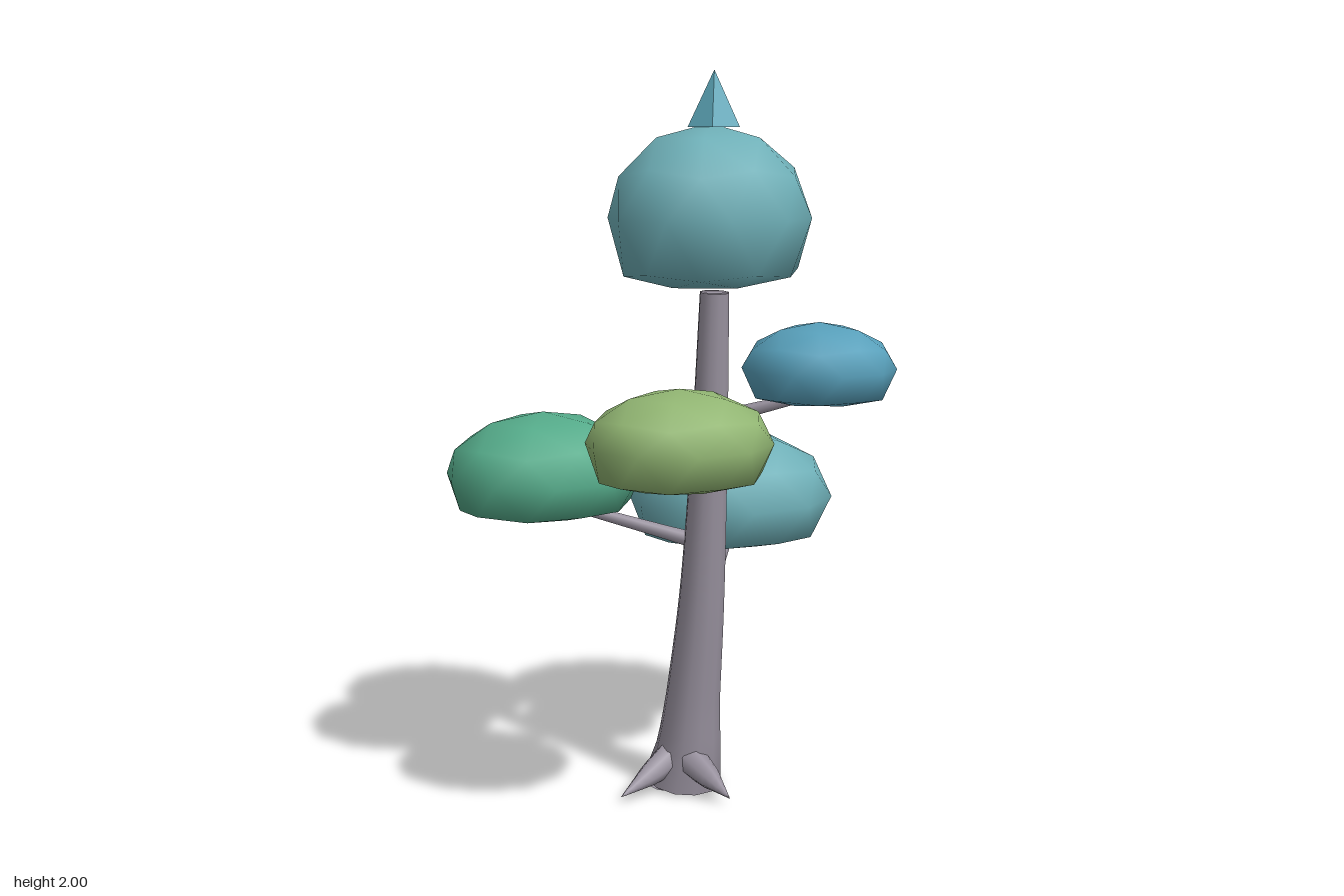
import * as THREE from 'three';
import { mergeVertices } from 'three/addons/utils/BufferGeometryUtils.js';

const V = (p) => new THREE.Vector3(...p);
const bark = new THREE.MeshStandardMaterial({ color: 0x9a93a0, side: THREE.DoubleSide });

// Tube along a smooth path whose radius follows the given list
function taperedTube(name, points, radii, sides, segments) {
  const curve = new THREE.CatmullRomCurve3(points.map(V));
  const geo = new THREE.TubeGeometry(curve, segments, 1, sides, false);
  const pos = geo.attributes.position;
  const p = new THREE.Vector3();
  for (let i = 0; i < pos.count; i++) {
    const u = Math.floor(i / (sides + 1)) / segments;
    const centre = curve.getPointAt(u);
    const s = curve.getUtoTmapping(u) * (radii.length - 1);
    const k = Math.min(Math.floor(s), radii.length - 2);
    const r = THREE.MathUtils.lerp(radii[k], radii[k + 1], s - k);
    p.fromBufferAttribute(pos, i).sub(centre).multiplyScalar(r).add(centre);
    pos.setXYZ(i, p.x, Math.max(p.y, 0), p.z);
  }
  const mesh = new THREE.Mesh(geo, bark);
  mesh.name = name;
  return mesh;
}

// Low-poly ball with a domed top and a flattened underside
function foliage({ name, at, rx, rz, up, down, color }) {
  let geo = new THREE.IcosahedronGeometry(1, 1);
  geo.rotateZ(-Math.atan(2 / (1 + Math.sqrt(5))));
  geo.deleteAttribute('normal');
  geo.deleteAttribute('uv');
  geo = mergeVertices(geo, 1e-3);
  const pos = geo.attributes.position;
  for (let i = 0; i < pos.count; i++) {
    const y = pos.getY(i);
    const ny = y > 0 ? y * up : -down * (1 - Math.pow(Math.max(0, 1 + y), 2.5));
    pos.setXYZ(i, pos.getX(i) * rx, ny, pos.getZ(i) * rz);
  }
  geo.computeVertexNormals();
  const mesh = new THREE.Mesh(geo, new THREE.MeshStandardMaterial({ color }));
  mesh.name = name;
  mesh.position.set(...at);
  return mesh;
}

export function createModel() {
  const tree = new THREE.Group();
  tree.name = 'tree';

  // Leaning trunk with a flared foot
  tree.add(taperedTube('trunk',
    [[-0.085, 0.01, -0.005], [-0.08, 0.1, 0.012], [-0.077, 0.25, 0.027], [-0.077, 0.55, 0.06],
      [-0.087, 1.0, 0.097], [-0.096, 1.41, 0.122]],
    [0.112, 0.094, 0.078, 0.064, 0.05, 0.04], 12, 28));
  const trunkTop = new THREE.Mesh(new THREE.CircleGeometry(0.04, 12), bark);
  trunkTop.name = 'trunkTop';
  trunkTop.rotation.x = -Math.PI / 2;
  trunkTop.position.set(-0.096, 1.41, 0.122);
  const trunkBase = new THREE.Mesh(new THREE.CircleGeometry(0.11, 12), bark);
  trunkBase.name = 'trunkBase';
  trunkBase.rotation.x = Math.PI / 2;
  trunkBase.position.set(-0.085, 0.01, -0.005);
  tree.add(trunkTop, trunkBase);

  // Branches, from the trunk into the foliage
  const branches = [
    ['leftBranch', [-0.06, 0.54, 0.06], [0.34, 0.645, -0.18]],
    ['backBranch', [-0.08, 0.71, 0.07], [-0.29, 0.81, -0.27]],
    ['rightBranch', [-0.09, 0.89, 0.1], [-0.42, 0.97, 0.28]],
    ['frontBranch', [-0.1, 1.06, 0.11], [0.04, 1.14, 0.36]],
  ];
  for (const [name, a, b] of branches) {
    tree.add(taperedTube(name, [a, b], [0.024, 0.013], 7, 4));
  }

  // Claw-shaped roots: start, bend, tip, thickness
  const roots = [
    ['rightRoot', [-0.13, 0.1, 0], [-0.215, 0.06, -0.01], [-0.325, 0.02, -0.02], 0.045],
    ['frontRoot', [-0.12, 0.09, 0.06], [-0.133, 0.06, 0.135], [-0.14, 0.02, 0.215], 0.045],
    ['leftRoot', [-0.02, 0.04, 0.02], [0.01, 0.03, 0.02], [0.05, 0.02, 0.02], 0.022],
    ['backRoot', [-0.08, 0.04, -0.07], [-0.08, 0.03, -0.1], [-0.085, 0.02, -0.13], 0.022],
  ];
  for (const [name, a, b, c, r] of roots) {
    tree.add(taperedTube(name, [a, b, c], [r, r * 0.75, 0.001], 7, 8));
  }

  // Foliage clumps
  [
    { name: 'crownFoliage', at: [-0.112, 1.61, 0.118], rx: 0.284, rz: 0.268, up: 0.25, down: 0.18, color: 0x6fb0b8 },
    { name: 'leftFoliage', at: [0.382, 0.74, -0.217], rx: 0.315, rz: 0.303, up: 0.205, down: 0.13, color: 0x6fb0b8 },
    { name: 'backFoliage', at: [-0.306, 0.89, -0.325], rx: 0.287, rz: 0.265, up: 0.175, down: 0.11, color: 0x55ab8a },
    { name: 'rightFoliage', at: [-0.44, 1.06, 0.295], rx: 0.252, rz: 0.235, up: 0.14, down: 0.11, color: 0x92b673 },
    { name: 'frontFoliage', at: [0.045, 1.21, 0.37], rx: 0.204, rz: 0.211, up: 0.125, down: 0.09, color: 0x58a0bb },
  ].forEach((f) => tree.add(foliage(f)));

  // Five-sided pointed tip
  const tip = new THREE.Mesh(
    new THREE.ConeGeometry(0.073, 0.15, 5),
    new THREE.MeshStandardMaterial({ color: 0x5fa9bb, flatShading: true }));
  tip.name = 'crownTip';
  tip.rotation.y = Math.PI / 2;
  tip.position.set(-0.095, 1.925, 0.12);
  tree.add(tip);

  return tree;
}
